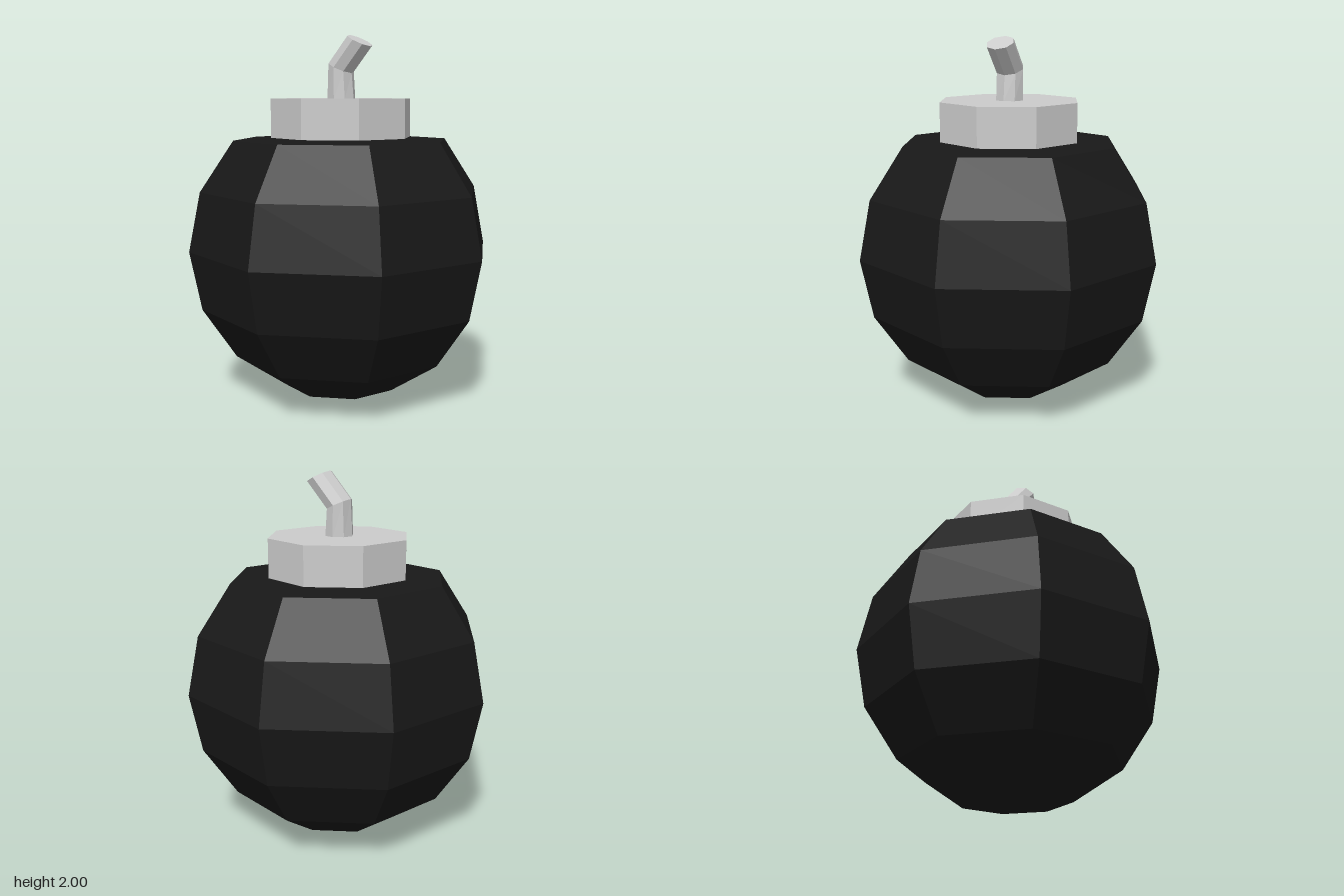
import * as THREE from 'three';

const SIDES = 8;

function flatMaterial(color) {
  return new THREE.MeshStandardMaterial({ color, flatShading: true });
}

// Bent prism: each ring is [left x, left y, right x, right y], with its depth radius in z.
function bentPrism(rings, depth) {
  const corner = ([lx, ly, rx, ry], i) => {
    const a = (i / SIDES) * Math.PI * 2;
    const t = (1 + Math.cos(a)) / 2;
    return [lx + (rx - lx) * t, ly + (ry - ly) * t, -depth * Math.sin(a)];
  };
  const pos = [];
  for (let i = 0; i < SIDES; i++) {
    for (let r = 0; r < rings.length - 1; r++) {
      const a = corner(rings[r], i), b = corner(rings[r], i + 1);
      const c = corner(rings[r + 1], i + 1), d = corner(rings[r + 1], i);
      pos.push(...a, ...b, ...c, ...a, ...c, ...d);
    }
    // end cap
    const [lx, ly, rx, ry] = rings[rings.length - 1];
    pos.push((lx + rx) / 2, (ly + ry) / 2, 0);
    pos.push(...corner(rings[rings.length - 1], i), ...corner(rings[rings.length - 1], i + 1));
  }
  const geometry = new THREE.BufferGeometry();
  geometry.setAttribute('position', new THREE.Float32BufferAttribute(pos, 3));
  geometry.computeVertexNormals();
  return geometry;
}

export function createModel() {
  const model = new THREE.Group();
  const grey = flatMaterial(0xcccccc);
  const add = (name, geometry, material) => {
    const mesh = new THREE.Mesh(geometry, material);
    mesh.name = name;
    model.add(mesh);
    return mesh;
  };

  // Faceted ball, flattened where the collar sits
  const radius = 0.84;
  const profile = [];
  for (let i = 0; i <= 6; i++) {
    const a = (i / 8) * Math.PI;
    profile.push(new THREE.Vector2(radius * Math.sin(a), 0.845 - radius * Math.cos(a)));
  }
  profile.push(new THREE.Vector2(0.39, 1.452), new THREE.Vector2(0, 1.452));
  add('body', new THREE.LatheGeometry(profile, SIDES), flatMaterial(0x181818));

  // Octagonal collar
  add('collar', new THREE.CylinderGeometry(0.39, 0.39, 0.21, SIDES), grey).position.y = 1.557;

  // Fuse with one bend, leaning to +x
  add('fuse', bentPrism([
    [-0.08, 1.66, 0.076, 1.66],
    [-0.07, 1.857, 0.063, 1.797],
    [0.05, 2.0, 0.18, 1.935],
  ], 0.077), grey);

  return model;
}
